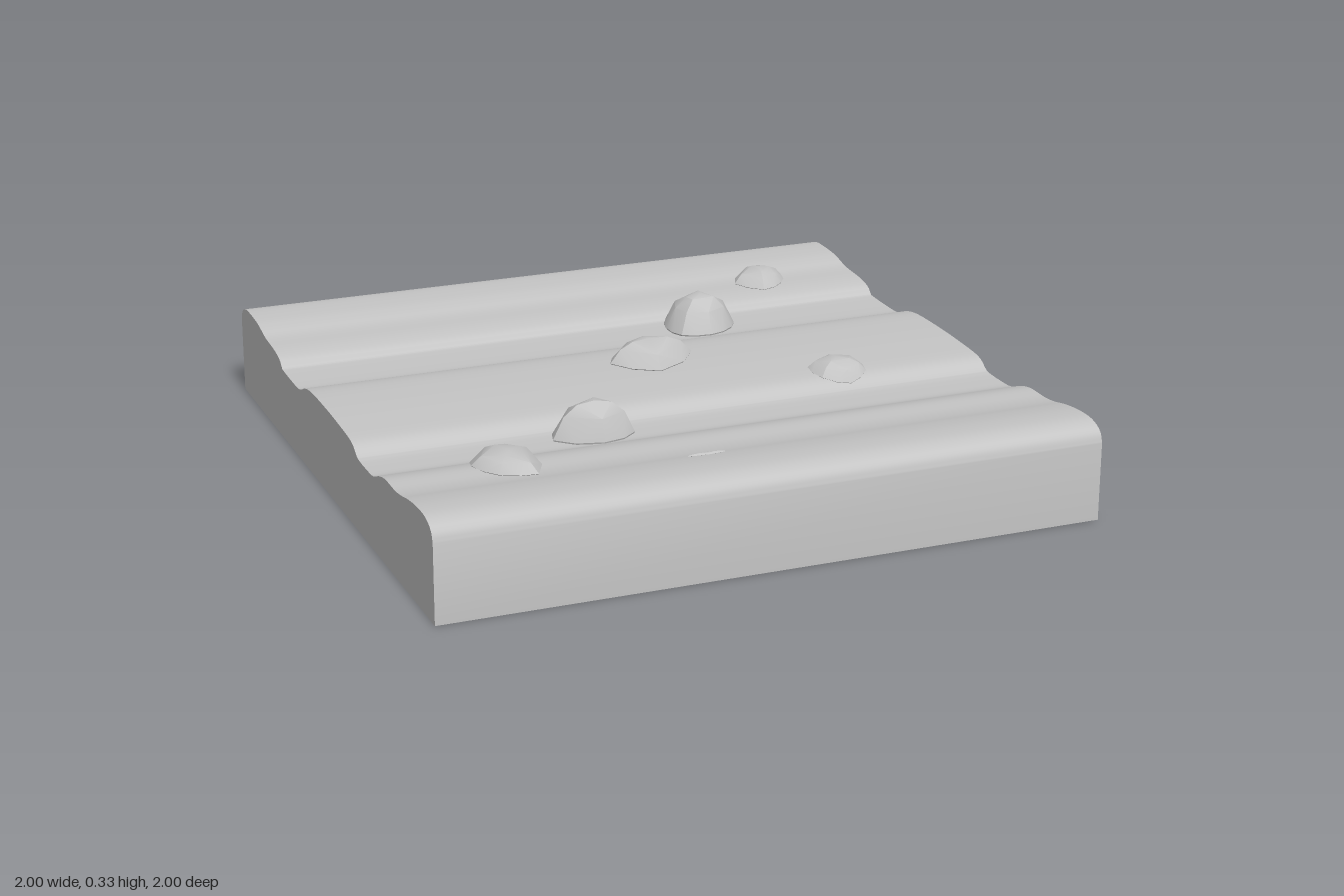
import * as THREE from 'three';
import { toCreasedNormals } from 'three/addons/utils/BufferGeometryUtils.js';
import { ConvexGeometry } from 'three/addons/geometries/ConvexGeometry.js';

// top of the slab as [z, y], front to back
const profile = [
  [1, 0.235], [0.99, 0.262], [0.965, 0.28], [0.92, 0.29], [0.85, 0.289], [0.78, 0.28], [0.72, 0.268],
  [0.66, 0.262], [0.58, 0.262], [0.52, 0.25], [0.46, 0.228], [0.4, 0.224], [0.32, 0.225], [0.295, 0.232],
  [0.265, 0.25], [0.22, 0.259], [0.12, 0.264], [0, 0.267], [-0.16, 0.265], [-0.24, 0.253], [-0.3, 0.23],
  [-0.36, 0.225], [-0.49, 0.227], [-0.51, 0.232], [-0.535, 0.25], [-0.6, 0.262], [-0.7, 0.268],
  [-0.76, 0.28], [-0.82, 0.288], [-0.92, 0.29], [-0.965, 0.28], [-0.99, 0.262], [-1, 0.235],
];
const curve = new THREE.SplineCurve(profile.map(([z, y]) => new THREE.Vector2(z, y))).getPoints(128);

// height of the slab surface at a given z
function ground(z) {
  const i = Math.max(1, curve.findIndex((p) => p.x <= z));
  const a = curve[i - 1], b = curve[i];
  return a.y + (b.y - a.y) * (z - a.x) / (b.x - a.x);
}

// half-buried rock: peak is [x, y, z], corners are [x, z] where it leaves the ground
function rockGeometry(peak, corners) {
  const [px, py, pz] = peak;
  const outline = new THREE.CatmullRomCurve3(corners.map(([x, z]) => new THREE.Vector3(x, 0, z)), true)
    .getPoints(corners.length * 2).slice(0, -1);
  const points = [new THREE.Vector3(px, py, pz)];
  // a corner pulled towards the peak: width 1 is the outline, rise 1 the top
  const add = ({ x, z }, width, rise) => {
    const y = ground(z);
    points.push(new THREE.Vector3(px + (x - px) * width, y + (py - y) * rise, pz + (z - pz) * width));
  };
  outline.forEach((p, i) => {
    add(p, 1, 0.04);
    add(p, 0.7, -0.8);
    if (i % 2 === 0) add(p, 0.74, 0.65);
    if (i % 4 === 0) add(p, 0.42, 0.94);
  });
  return toCreasedNormals(new ConvexGeometry(points), 0.5);
}

const rocks = [
  [[0.67, 0.311, -0.68], [[0.64, -0.75], [0.7, -0.755], [0.76, -0.7], [0.73, -0.63], [0.65, -0.59], [0.58, -0.67]]],
  [[0.36, 0.331, -0.44], [[0.24, -0.43], [0.27, -0.51], [0.38, -0.535], [0.47, -0.45], [0.44, -0.37], [0.35, -0.32], [0.26, -0.35]]],
  [[0.04, 0.332, -0.08], [[-0.09, -0.07], [-0.03, -0.15], [0.03, -0.17], [0.12, -0.165], [0.185, -0.09], [0.03, 0.045]]],
  [[0.54, 0.297, 0.2], [[0.54, 0.12], [0.62, 0.155], [0.62, 0.24], [0.55, 0.285], [0.47, 0.25], [0.46, 0.165]]],
  [[-0.31, 0.331, 0.375], [[-0.44, 0.38], [-0.39, 0.295], [-0.28, 0.28], [-0.2, 0.34], [-0.195, 0.4], [-0.31, 0.46]]],
  [[-0.65, 0.306, 0.6], [[-0.69, 0.44], [-0.61, 0.435], [-0.555, 0.53], [-0.6, 0.71], [-0.7, 0.67], [-0.75, 0.57]]],
  // barely breaks the surface
  [[-0.12, 0.281, 0.757], [[-0.18, 0.755], [-0.1, 0.745], [-0.06, 0.755], [-0.12, 0.768]]],
];

export function createModel() {
  const model = new THREE.Group();
  model.name = 'groundTile';
  const stone = new THREE.MeshStandardMaterial({ color: 0xc4c4c4 });
  stone.name = 'grey stone';

  // slab with grooves running from side to side
  const shape = new THREE.Shape([new THREE.Vector2(-1, 0), new THREE.Vector2(1, 0), ...curve]);
  const slabGeometry = new THREE.ExtrudeGeometry(shape, { depth: 2, bevelEnabled: false });
  slabGeometry.translate(0, 0, -1).rotateY(-Math.PI / 2);
  const slab = new THREE.Mesh(toCreasedNormals(slabGeometry, 0.6), stone);
  slab.name = 'slab';
  model.add(slab);

  rocks.forEach(([peak, corners], i) => {
    const rock = new THREE.Mesh(rockGeometry(peak, corners), stone);
    rock.name = `rock${i + 1}`;
    model.add(rock);
  });
  return model;
}
